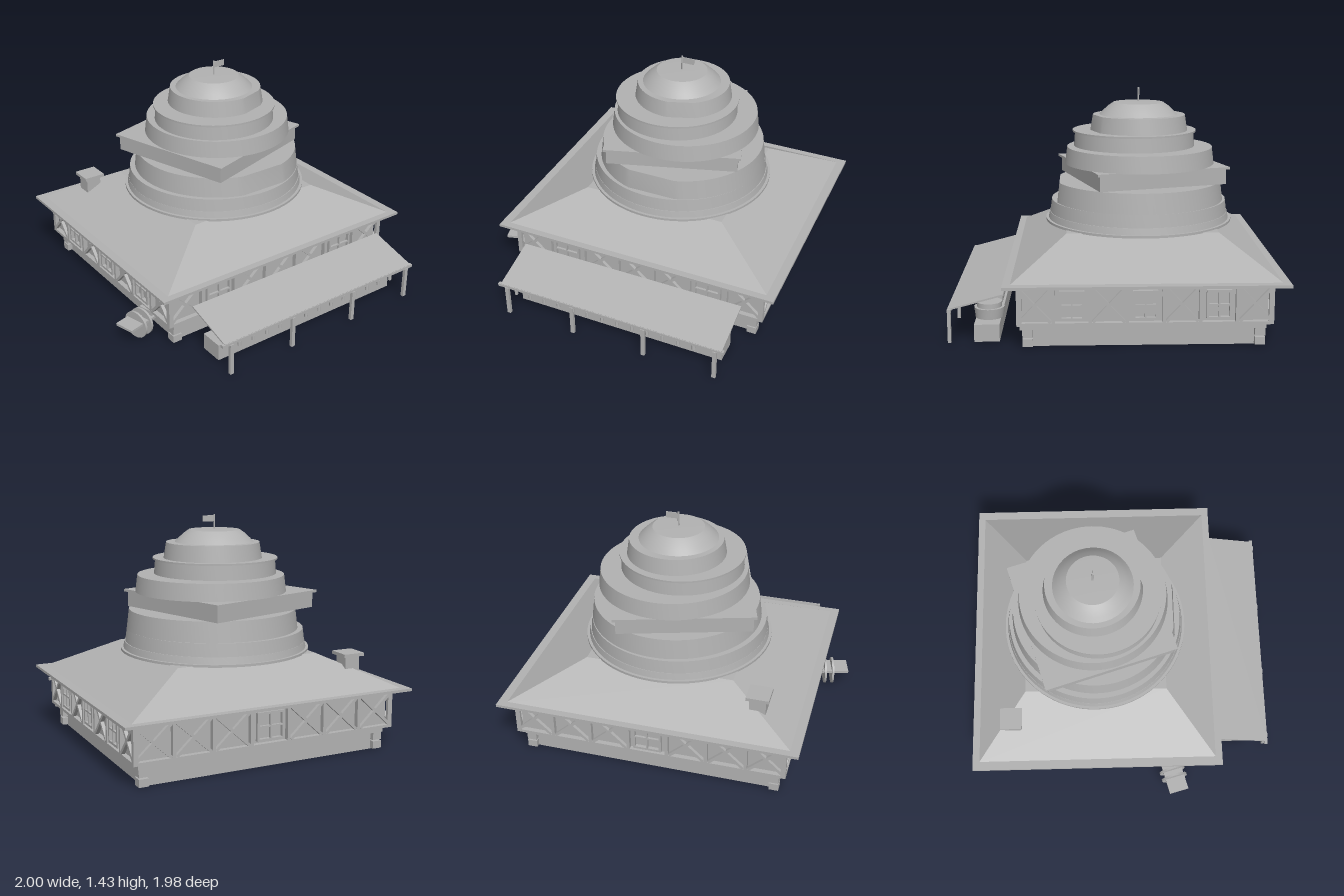
import * as THREE from 'three';
import { toCreasedNormals } from 'three/addons/utils/BufferGeometryUtils.js';

const stone = new THREE.MeshStandardMaterial({ color: 0xb2b2b2, side: THREE.DoubleSide });
stone.name = 'stone grey';

export function createModel() {
  const root = new THREE.Group();
  root.name = 'pavilion';

  const add = (name, geo, parent = root) => {
    const m = new THREE.Mesh(geo, stone);
    m.name = name;
    parent.add(m);
    return m;
  };
  const group = (name, parent = root) => {
    const g = new THREE.Group();
    g.name = name;
    parent.add(g);
    return g;
  };
  // Box given by its limits on each axis
  const box = (name, x0, x1, y0, y1, z0, z1, parent) => {
    const m = add(name, new THREE.BoxGeometry(x1 - x0, y1 - y0, z1 - z0), parent);
    m.position.set((x0 + x1) / 2, (y0 + y1) / 2, (z0 + z1) / 2);
    return m;
  };
  const cyl = (name, rTop, rBot, y0, y1, x, z, sides, parent) => {
    const m = add(name, toCreasedNormals(new THREE.CylinderGeometry(rTop, rBot, y1 - y0, sides), 0.6), parent);
    m.position.set(x, (y0 + y1) / 2, z);
    return m;
  };

  // Stone base with crossed log ends at the corners
  const base = group('base');
  box('foundation', -0.71, 0.84, 0, 0.13, -0.835, 0.515, base);
  box('baseMoulding', -0.75, 0.88, 0.11, 0.148, -0.87, 0.56, base);
  for (const sx of [-1, 1]) for (const sz of [-1, 1]) for (const y of [0.006, 0.062]) {
    const x = 0.065 + sx * 0.78, z = -0.16 + sz * 0.675;
    box('logEnd', x - 0.03, x + 0.03, y, y + 0.047, z - 0.03, z + 0.03, base);
  }

  // Recessed upper wall
  box('upperWall', -0.76, 0.89, 0.145, 0.385, -0.875, 0.545);

  // Timber frame on one wall: local x along the wall, z outward
  const frame = (name, length, pattern, x, z, turn) => {
    const g = group(name);
    g.position.set(x, 0, z);
    g.rotation.y = turn;
    const h = length / 2, n = pattern.length, w = length / n;
    const beam = (x0, y0, x1, y1, t = 0.018, d = 0.022) => {
      const len = Math.hypot(x1 - x0, y1 - y0);
      const m = add('beam', new THREE.BoxGeometry(len, t, d), g);
      m.position.set((x0 + x1) / 2, (y0 + y1) / 2, -d / 2);
      m.rotation.z = Math.atan2(y1 - y0, x1 - x0);
    };
    beam(-h, 0.154, h, 0.154, 0.018, 0.03);
    beam(-h, 0.374, h, 0.374, 0.022, 0.03);
    for (let i = 0; i <= n; i++) {
      const px = Math.min(h - 0.01, Math.max(-h + 0.01, -h + i * w));
      beam(px, 0.15, px, 0.38, 0.02, 0.03);
    }
    [...pattern].forEach((kind, i) => {
      const a = -h + i * w + 0.015, b = a + w - 0.03, c = (a + b) / 2;
      if (kind === 'X') {
        beam(a, 0.165, b, 0.362);
        beam(a, 0.362, b, 0.165, 0.018, 0.021);
      } else {
        // Window bay with an inner frame and cross bars
        beam(a + 0.02, 0.185, b - 0.02, 0.185, 0.014);
        beam(a + 0.02, 0.345, b - 0.02, 0.345, 0.014);
        for (const px of [a + 0.025, b - 0.025]) beam(px, 0.18, px, 0.35, 0.014);
        beam(c, 0.18, c, 0.35, 0.01, 0.016);
        beam(a + 0.02, 0.265, b - 0.02, 0.265, 0.01, 0.015);
      }
    });
  };
  frame('frontFrame', 1.71, 'XWXXXWX', 0.065, 0.575, 0);
  frame('backFrame', 1.71, 'XXXWXXX', 0.065, -0.905, Math.PI);
  frame('leftFrame', 1.48, 'XWXWXWX', 0.92, -0.165, Math.PI / 2);
  frame('rightFrame', 1.48, 'XWXWXWX', -0.79, -0.165, -Math.PI / 2);

  // Hipped roof: a box whose top corners are drawn inward
  box('eaves', -0.87, 1.0, 0.383, 0.4, -0.99, 0.65);
  const hip = new THREE.BoxGeometry(1.77, 0.2, 1.56);
  const hp = hip.attributes.position;
  for (let i = 0; i < hp.count; i++) if (hp.getY(i) > 0) {
    hp.setX(i, Math.sign(hp.getX(i)) * 0.465);
    hp.setZ(i, Math.sign(hp.getZ(i)) * 0.46);
  }
  hip.computeVertexNormals();
  add('hippedRoof', hip).position.set(0.065, 0.497, -0.17);

  // Chimney
  const chimney = group('chimney');
  box('chimneyStack', -0.63, -0.53, 0.42, 0.59, -0.77, -0.67, chimney);
  box('chimneyCap', -0.65, -0.51, 0.585, 0.605, -0.79, -0.65, chimney);

  // Round tower of off-centre tiers; a notch is [start angle, end angle, inner x, inner y]
  const tower = group('tower');
  const tier = (name, x, z, rBot, rTop, y0, y1, notch) => {
    const s = new THREE.Shape();
    if (notch) {
      s.moveTo(notch[2], notch[3]);
      s.absarc(0, 0, rBot, notch[1], notch[0] + Math.PI * 2, false);
      s.closePath();
    } else s.absarc(0, 0, rBot, 0, Math.PI * 2, false);
    const geo = new THREE.ExtrudeGeometry(s, { depth: y1 - y0, bevelEnabled: false, curveSegments: 40 });
    const p = geo.attributes.position;
    for (let i = 0; i < p.count; i++) if (p.getZ(i) > 0) {
      p.setX(i, p.getX(i) * rTop / rBot);
      p.setY(i, p.getY(i) * rTop / rBot);
    }
    geo.rotateX(-Math.PI / 2);
    geo.computeVertexNormals();
    add(name, toCreasedNormals(geo, 0.5), tower).position.set(x, y0, z);
  };
  const deg = Math.PI / 180;
  tier('towerFoot', 0.065, -0.168, 0.595, 0.595, 0.593, 0.608);
  tier('footRing', 0.065, -0.168, 0.578, 0.57, 0.608, 0.648);
  tier('firstTier', 0.063, -0.168, 0.567, 0.557, 0.648, 0.727);
  tier('notchedTier', 0.08, -0.165, 0.54, 0.525, 0.727, 0.852, [-107 * deg, -73 * deg, 0, -0.3]);
  tier('thirdTier', 0.093, -0.172, 0.473, 0.46, 0.96, 1.065);
  tier('fourthTier', 0.047, -0.14, 0.385, 0.378, 1.065, 1.155);
  tier('fourthTierRim', 0.047, -0.14, 0.393, 0.393, 1.155, 1.166);
  tier('fifthTier', 0.077, -0.168, 0.308, 0.292, 1.166, 1.265, [-87 * deg, -55 * deg, 0.02, -0.21]);

  // Turned square storey with its overhanging slab
  const square = group('squareStorey', tower);
  square.position.set(0.035, 0, -0.185);
  square.rotation.y = 17 * deg;
  box('squareBlock', -0.412, 0.412, 0.852, 0.948, -0.412, 0.412, square);
  box('squareSlab', -0.43, 0.43, 0.946, 0.961, -0.43, 0.43, square);

  // Dome cap and flag
  const dome = [[0, 1.265], [0.247, 1.265], [0.222, 1.29], [0.192, 1.318], [0.16, 1.34], [0, 1.345]]
    .map(([r, y]) => new THREE.Vector2(r, y));
  add('dome', toCreasedNormals(new THREE.LatheGeometry(dome, 40), 0.5), tower).position.set(0.065, 0, -0.165);
  cyl('flagPole', 0.006, 0.006, 1.34, 1.435, 0.065, -0.165, 10, tower);
  box('flag', 0.065, 0.145, 1.39, 1.428, -0.168, -0.162, tower);

  // Market stall: sloping awning on posts, hanging pegs, counter and baskets
  const stall = group('stall');
  const awning = add('awning', new THREE.BoxGeometry(1.485, 0.01, 0.332), stall);
  awning.position.set(0.065, 0.257, 0.815);
  awning.rotation.x = Math.atan2(0.085, 0.32);
  box('awningBeam', -0.695, 0.82, 0.2, 0.218, 0.96, 0.982, stall);
  for (const x of [-0.632, -0.175, 0.305, 0.765]) box('post', x - 0.012, x + 0.012, 0, 0.205, 0.968, 0.988, stall);
  for (let i = 0; i < 13; i++) cyl('peg', 0.011, 0.011, 0.168, 0.202, -0.57 + i * 0.1, 0.973, 10, stall);
  box('counter', -0.62, 0.76, 0, 0.105, 0.685, 0.835, stall);
  for (const x of [-0.37, 0.59]) {
    cyl('basket', 0.092, 0.085, 0.105, 0.168, x, 0.757, 24, stall);
    cyl('basketLid', 0.075, 0.075, 0.168, 0.198, x, 0.757, 24, stall);
  }
  for (const x of [-0.18, 0.08, 0.27]) box('tray', x - 0.08, x + 0.08, 0.105, 0.15, 0.7, 0.82, stall);

  // Handcart beside the wall
  const cart = group('handcart');
  cart.position.set(-0.86, 0, 0.34);
  cart.rotation.y = 15 * deg;
  box('cartBed', -0.13, 0.12, 0.108, 0.124, -0.065, 0.065, cart);
  box('cartHandle', 0.06, 0.12, 0.124, 0.155, -0.05, 0.05, cart);
  for (const x of [-0.025, 0.025]) {
    const wheel = add('wheel', toCreasedNormals(new THREE.CylinderGeometry(0.088, 0.088, 0.014, 24), 0.6), cart);
    wheel.rotation.z = Math.PI / 2;
    wheel.position.set(x, 0.088, 0);
  }
  return root;
}
